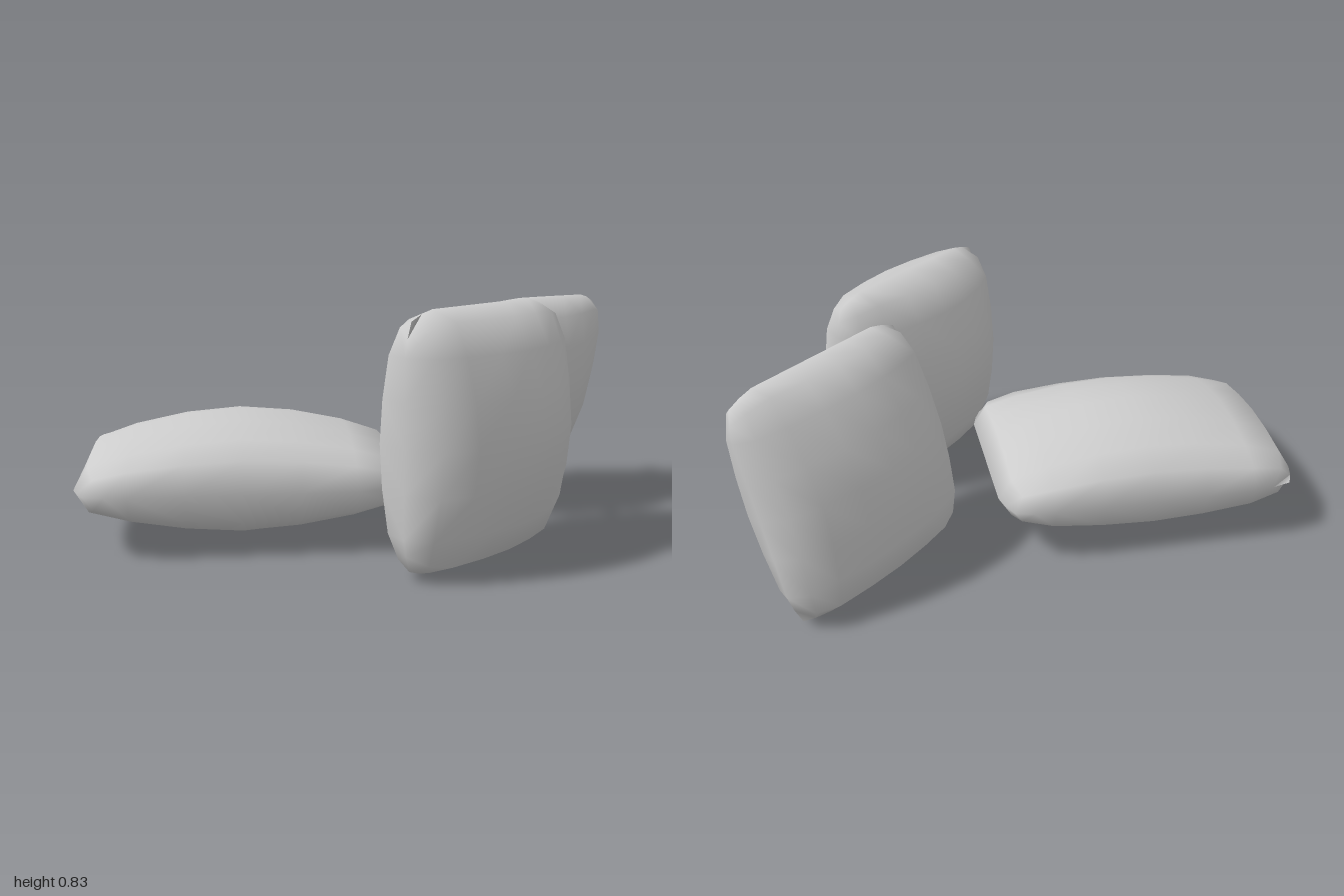
import * as THREE from 'three';
import { mergeVertices } from 'three/addons/utils/BufferGeometryUtils.js';

// Half outline of a cushion: distance from the middle and half thickness there
const OFFSET = [0, 0.14, 0.275, 0.375, 0.41];
const THICK = [0.245, 0.225, 0.178, 0.12, 0];
const N = 4;

function cushionPoint(i, j, side) {
  const a = Math.abs(i), b = Math.abs(j);
  let x = OFFSET[a], y = OFFSET[b];
  // Blunt the corners of the seam and of the ring just inside it
  if (a === N && b === N) x = y = 0.38;
  else if (a === N && b === N - 1) { x = 0.398; y = 0.33; }
  else if (b === N && a === N - 1) { x = 0.33; y = 0.398; }
  else if (a === N - 1 && b === N - 1) x = y = 0.358;
  const z = side * THICK[a] * THICK[b] / THICK[0];
  return [Math.sign(i) * x, Math.sign(j) * y, z];
}

// Two domed faces welded along the seam
function cushionGeometry(w, h, t) {
  const pos = [], index = [];
  const row = 2 * N + 1;
  for (const side of [1, -1]) {
    const base = pos.length / 3;
    for (let j = -N; j <= N; j++) {
      for (let i = -N; i <= N; i++) {
        const [x, y, z] = cushionPoint(i, j, side);
        pos.push(x * w, y * h, z * t);
      }
    }
    for (let j = 0; j < row - 1; j++) {
      for (let i = 0; i < row - 1; i++) {
        const a = base + j * row + i, b = a + 1, c = b + row, d = a + row;
        if (side > 0) index.push(a, b, c, a, c, d);
        else index.push(a, c, b, a, d, c);
      }
    }
  }
  const geo = new THREE.BufferGeometry();
  geo.setAttribute('position', new THREE.Float32BufferAttribute(pos, 3));
  geo.setIndex(index);
  const welded = mergeVertices(geo, 1e-4);
  welded.computeVertexNormals();
  return welded;
}

export function createModel() {
  const group = new THREE.Group();
  group.name = 'cushions';
  const material = new THREE.MeshStandardMaterial({ color: 0xcccccc });

  const addCushion = (name, size, position, rotation) => {
    const mesh = new THREE.Mesh(cushionGeometry(...size), material);
    mesh.name = name;
    mesh.position.set(...position);
    mesh.rotation.set(...rotation);
    group.add(mesh);
  };

  const rad = THREE.MathUtils.degToRad;
  // Upright square cushion
  addCushion('uprightCushion', [1, 1, 1], [-0.12, 0.418, 0.612], [0, 0, 0]);
  // Square cushion leaning forward
  addCushion('leaningCushion', [1.01, 1, 0.87], [0.585, 0.4, 0.31], [rad(17), 0, 0]);
  // Long cushion lying flat and turned
  addCushion('flatCushion', [1.35, 1, 0.87], [-0.365, 0.215, -0.24], [-Math.PI / 2, 0, rad(-43.5)]);

  return group;
}
